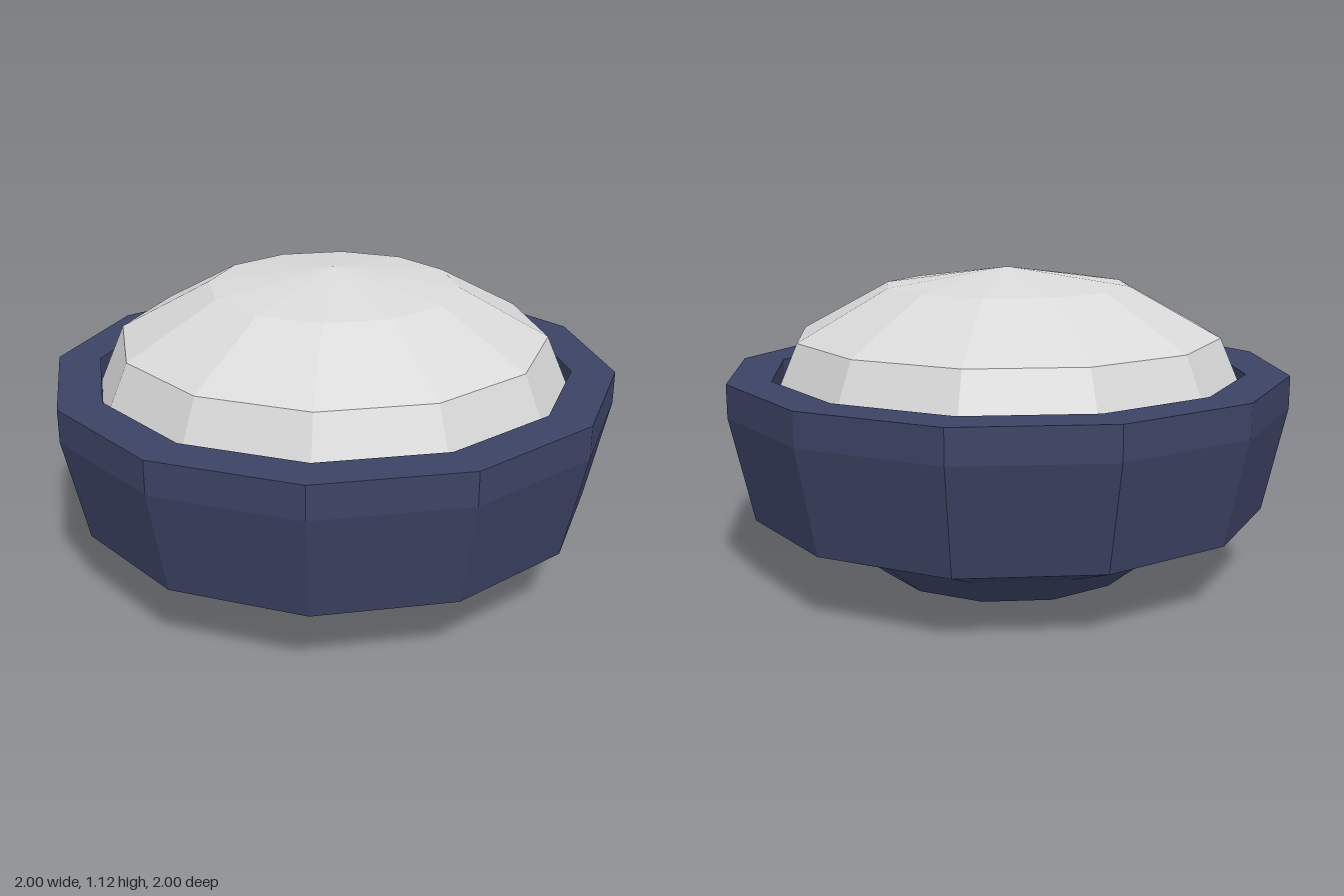
import * as THREE from 'three';

const SIDES = 12;

// Twelve-sided turned solid; profile is [distance to flat side, height], with flats facing the axes
function turned(name, profile, material) {
  const toCorner = 1 / Math.cos(Math.PI / SIDES);
  const points = profile.map(([d, y]) => new THREE.Vector2(d * toCorner, y));
  const mesh = new THREE.Mesh(new THREE.LatheGeometry(points, SIDES, Math.PI / SIDES), material);
  mesh.name = name;
  return mesh;
}

export function createModel() {
  const navy = new THREE.MeshStandardMaterial({ name: 'navy glaze', color: 0x3c4364, flatShading: true });
  const white = new THREE.MeshStandardMaterial({ name: 'pale filling', color: 0xd9d9d9, flatShading: true });

  const model = new THREE.Group();
  model.name = 'filledBowl';

  // Bowl: base, flared foot, wall, flat rim and inside wall
  model.add(turned('bowl', [
    [0, 0], [0.465, 0], [0.615, 0.125], [0.92, 0.25], [1, 0.63], [1, 0.75],
    [0.847, 0.75], [0.847, 0.63], [0.75, 0.35], [0, 0.25],
  ], navy));

  // Heaped filling, starting just below the rim
  model.add(turned('filling', [
    [0.847, 0.665], [0.757, 0.88], [0.438, 1.06], [0, 1.125],
  ], white));

  return model;
}
